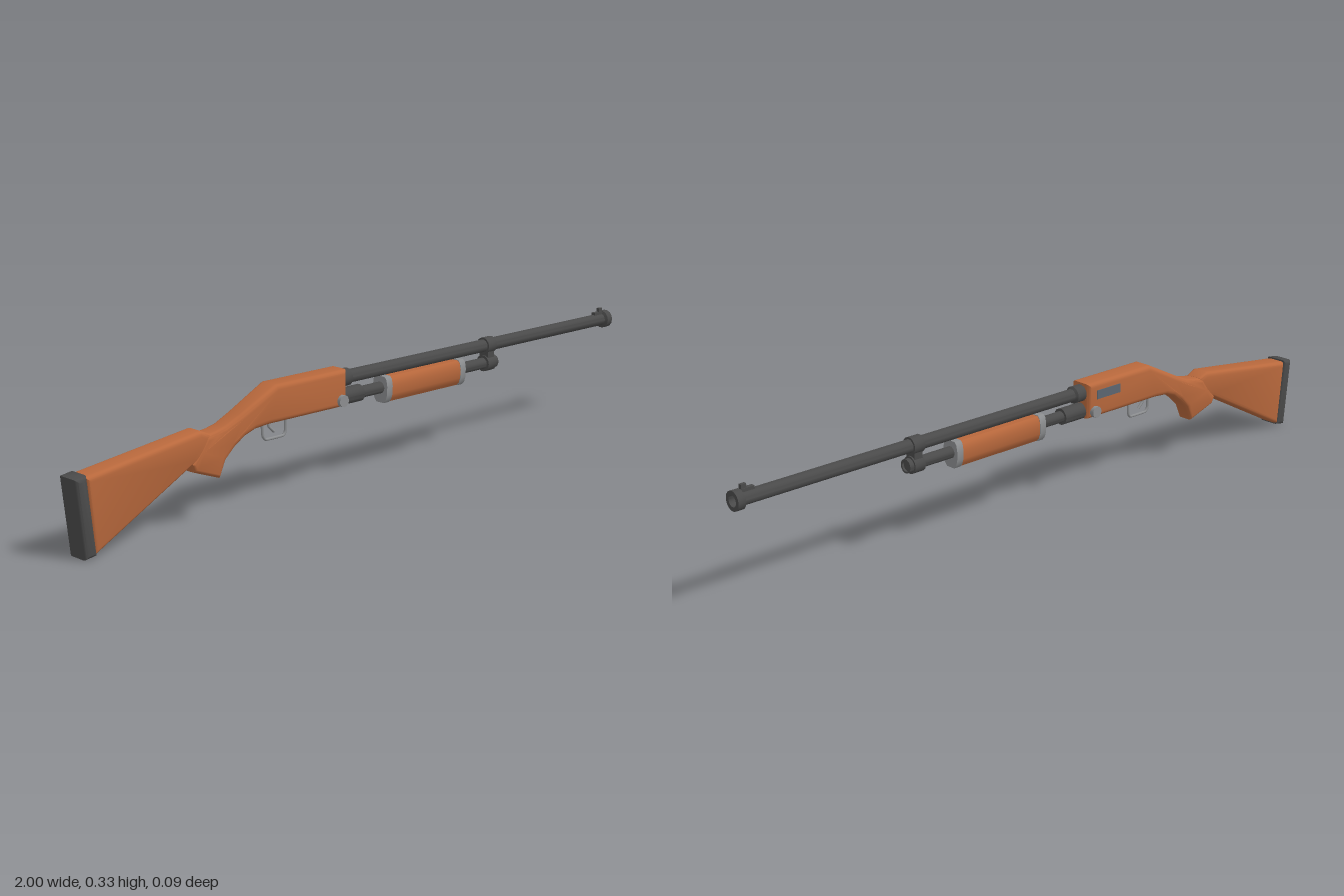
import * as THREE from 'three';
import { toCreasedNormals } from 'three/addons/utils/BufferGeometryUtils.js';

const paint = (name, color) => {
  const m = new THREE.MeshStandardMaterial({ color });
  m.name = name;
  return m;
};

export function createModel() {
  const wood = paint('wood', 0xb8683c);
  const steel = paint('dark steel', 0x4a4a4a);
  const silver = paint('light steel', 0x8c8e90);
  const blued = paint('port grey', 0x5c6670);
  const model = new THREE.Group();

  const add = (name, geometry, material) => {
    const mesh = new THREE.Mesh(geometry, material);
    mesh.name = name;
    model.add(mesh);
    return mesh;
  };
  const shapeOf = (pts) => new THREE.Shape(pts.map((p) => new THREE.Vector2(...p)));

  // Side outline thickened to a rounded slab centred on z = 0
  const slab = (pts, halfWidth, bevel, waist = () => 1) => {
    const g = new THREE.ExtrudeGeometry(shapeOf(pts), {
      depth: 2 * (halfWidth - bevel), bevelEnabled: true, bevelSize: bevel,
      bevelThickness: bevel, bevelOffset: -bevel, bevelSegments: 4,
    });
    g.translate(0, 0, bevel - halfWidth);
    const p = g.attributes.position;
    for (let i = 0; i < p.count; i++) p.setZ(i, p.getZ(i) * waist(p.getX(i)));
    return toCreasedNormals(g, 0.6);
  };

  // Turned part along x: profile rows are [radius, x]
  const turned = (profile, y, sides = 14) => {
    const g = new THREE.LatheGeometry(profile.map((p) => new THREE.Vector2(...p)), sides);
    g.rotateZ(-Math.PI / 2).translate(0, y, 0);
    return toCreasedNormals(g, 0.6);
  };
  const ring = (r, x0, x1, y) => turned([[0, x0], [r, x0], [r, x1], [0, x1]], y);

  const box = (x0, x1, y0, y1, w) => new THREE.BoxGeometry(x1 - x0, y1 - y0, w)
    .translate((x0 + x1) / 2, (y0 + y1) / 2, 0);

  // Cross-section (z, y) swept along x
  const swept = (pts, x0, x1) => {
    const g = new THREE.ExtrudeGeometry(shapeOf(pts), { depth: x1 - x0, bevelEnabled: false });
    g.rotateY(Math.PI / 2).translate(x0, 0, 0);
    return toCreasedNormals(g, 0.7);
  };

  // Wooden furniture
  const waist = (x) => 1 - 0.2 * Math.exp(-(((x + 0.54) / 0.07) ** 2));
  add('receiverAndGrip', slab([
    [-0.375, 0.32], [-0.49, 0.263], [-0.54, 0.241], [-0.57, 0.234], [-0.605, 0.23],
    [-0.625, 0.2], [-0.655, 0.166], [-0.645, 0.144], [-0.56, 0.112], [-0.54, 0.155],
    [-0.51, 0.183], [-0.478, 0.205], [-0.445, 0.217], [-0.4, 0.221],
    [-0.13, 0.221], [-0.13, 0.32],
  ], 0.034, 0.014, waist), wood);
  add('stock', slab([
    [-0.97, 0.2], [-0.95, 0.006], [-0.65, 0.162], [-0.59, 0.18], [-0.59, 0.232], [-0.62, 0.245],
  ], 0.034, 0.014, (x) => 1 - 0.14 * Math.max(0, (x + 0.75) / 0.16)), wood);
  add('buttPad', slab([
    [-1, 0.2], [-0.979, 0], [-0.945, 0.006], [-0.966, 0.205],
  ], 0.035, 0.011), steel);

  // Barrel with open muzzle
  add('barrel', turned([
    [0, -0.14], [0.024, -0.14], [0.024, -0.1], [0.018, -0.095], [0.018, 0.975],
    [0.026, 0.979], [0.026, 1], [0.015, 1], [0.015, 0.97], [0, 0.97],
  ], 0.291), steel);
  add('frontSight', box(0.962, 0.977, 0.3, 0.327, 0.009), steel);
  add('sightBase', box(0.94, 0.977, 0.3, 0.316, 0.012), steel);

  // Magazine tube and the band tying it to the barrel
  add('magazineTube', turned([
    [0, -0.14], [0.023, -0.14], [0.023, -0.055], [0.016, -0.055], [0.016, 0.46],
    [0.019, 0.46], [0.019, 0.485], [0.014, 0.485], [0.014, 0.479], [0, 0.479],
  ], 0.24), steel);
  add('barrelBand', ring(0.0235, 0.438, 0.472, 0.291), steel);
  add('magazineBand', ring(0.0235, 0.438, 0.472, 0.24), steel);
  add('bandBridge', box(0.442, 0.468, 0.24, 0.291, 0.032), steel);

  // Sliding fore-end with metal caps
  const section = (s) => [
    [-0.016, 0.27], [-0.023, 0.262], [-0.026, 0.245], [-0.025, 0.222], [-0.02, 0.208], [-0.013, 0.2],
    [0.013, 0.2], [0.02, 0.208], [0.025, 0.222], [0.026, 0.245], [0.023, 0.262], [0.016, 0.27],
  ].map(([z, y]) => [z * s, 0.236 + (y - 0.236) * s]);
  add('foreEnd', swept(section(1), 0.04, 0.32), wood);
  for (const x of [0.024, 0.316]) add('foreEndCap', swept(section(1.04), x, x + 0.021), silver);

  // Cross pin showing on both sides
  const pin = new THREE.CylinderGeometry(0.016, 0.016, 0.088, 14).rotateX(Math.PI / 2);
  add('crossPin', pin.translate(-0.152, 0.24, 0), silver);

  // Ejection port plate on the far side
  add('ejectionPort', box(-0.25, -0.16, 0.273, 0.298, 0.006).translate(0, 0, -0.0325), blued);

  // Trigger and its guard
  const wire = (pts, r) => {
    const path = new THREE.CatmullRomCurve3(
      pts.map(([x, y]) => new THREE.Vector3(x, y, 0)), false, 'catmullrom', 0.2);
    return new THREE.TubeGeometry(path, 40, r, 8);
  };
  add('triggerGuard', wire([
    [-0.4, 0.225], [-0.398, 0.186], [-0.388, 0.174], [-0.33, 0.174], [-0.321, 0.184], [-0.319, 0.225],
  ], 0.004), silver);
  add('trigger', wire([[-0.38, 0.226], [-0.377, 0.206], [-0.36, 0.19]], 0.004), silver);

  return model;
}
